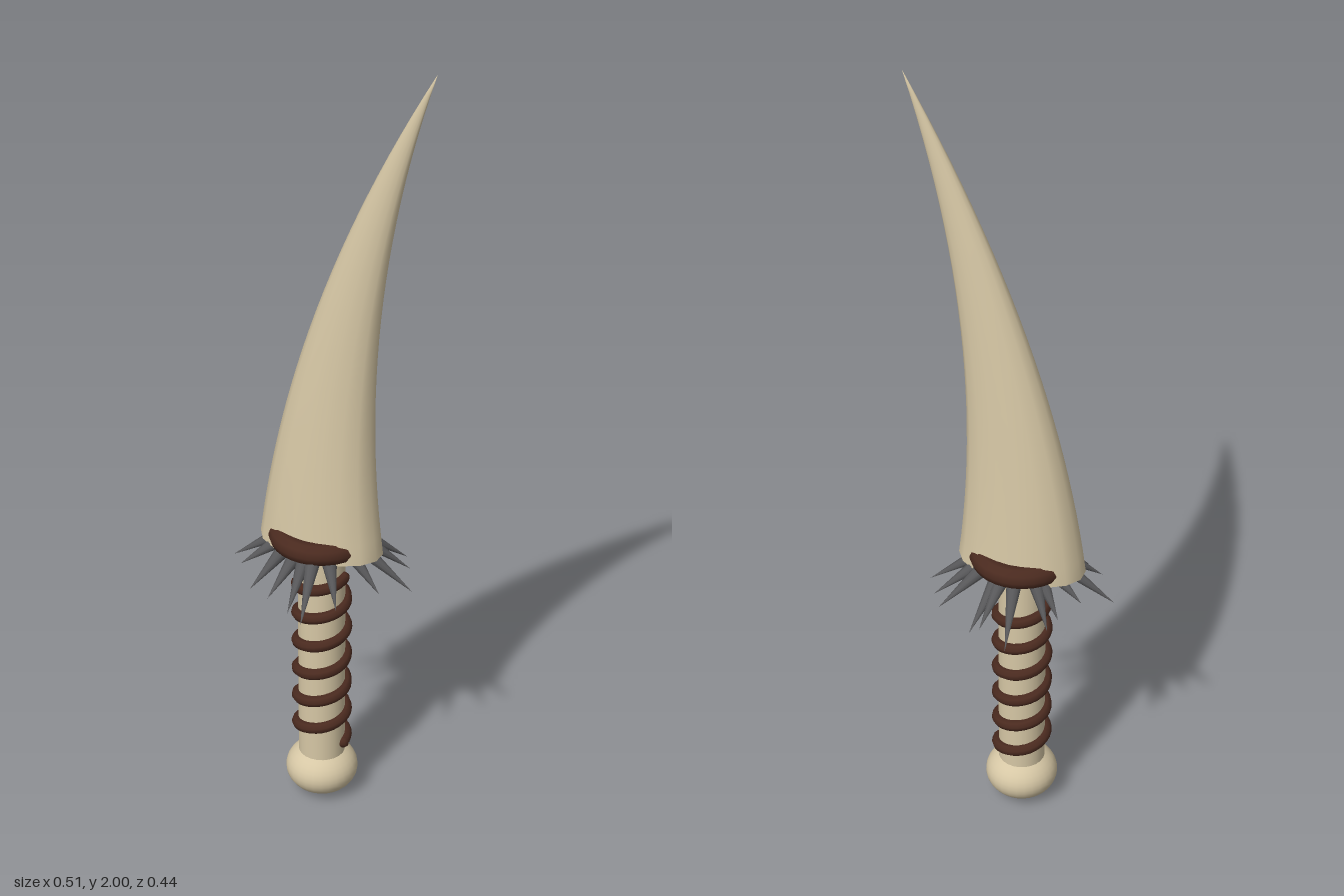
import * as THREE from 'three';
import { mergeVertices } from 'three/addons/utils/BufferGeometryUtils.js';

const CX = -0.028, CZ = -0.013; // handle axis

export function createModel() {
  const group = new THREE.Group();
  const material = (name, color) => {
    const m = new THREE.MeshStandardMaterial({ color });
    m.name = name;
    return m;
  };
  const bone = material('bone', 0xd6c7a5);
  const leather = material('leather', 0x4a2a1f);
  const iron = material('iron', 0x58585a);

  const add = (name, geometry, mat, x, y, z) => {
    const mesh = new THREE.Mesh(geometry, mat);
    mesh.name = name;
    mesh.position.set(x, y, z);
    group.add(mesh);
    return mesh;
  };

  // Curved tusk blade: an elliptical cone whose axis bends towards +x
  const sides = 16, bladeBase = 0.73, bladeHeight = 1.27, rx = 0.159, rz = 0.094;
  let blade = new THREE.CylinderGeometry(0, 1, 1, sides, 24, true, Math.PI / sides);
  blade.deleteAttribute('uv');
  blade.deleteAttribute('normal');
  blade = mergeVertices(blade);
  const p = blade.attributes.position;
  for (let i = 0; i < p.count; i++) {
    const t = p.getY(i) + 0.5;
    p.setXYZ(i, p.getX(i) * rx + 0.283 * t * t, t * bladeHeight, p.getZ(i) * rz);
  }
  blade.computeVertexNormals();
  add('blade', blade, bone, CX, bladeBase, CZ);

  const cap = new THREE.CircleGeometry(1, sides, Math.PI / sides);
  cap.rotateX(Math.PI / 2);
  cap.scale(rx, 1, rz);
  add('bladeBase', cap, bone, CX, bladeBase, CZ);

  // Handle and flattened pommel
  add('handle', new THREE.CylinderGeometry(0.058, 0.058, 0.64, 24), bone, CX, 0.43, CZ);
  const pommel = new THREE.SphereGeometry(1, 28, 18);
  pommel.scale(0.09, 0.068, 0.09);
  add('pommel', pommel, bone, CX, 0.068, CZ);

  // Leather cord wound around the handle
  const turns = 6, cordPoints = [];
  for (let i = 0; i <= turns * 16; i++) {
    const a = (i / 16) * Math.PI * 2;
    cordPoints.push(new THREE.Vector3(
      0.06 * Math.cos(a), 0.155 + (0.49 * i) / (turns * 16), -0.06 * Math.sin(a)));
  }
  const cord = new THREE.CatmullRomCurve3(cordPoints);
  add('cord', new THREE.TubeGeometry(cord, turns * 28, 0.015, 8), leather, CX, 0, CZ);
  for (const end of [cordPoints[0], cordPoints[cordPoints.length - 1]]) {
    add('cordEnd', new THREE.SphereGeometry(0.015, 8, 6), leather, CX + end.x, end.y, CZ + end.z);
  }

  // Leather collar under the blade
  const collar = new THREE.TorusGeometry(0.1, 0.028, 10, 32);
  collar.rotateX(Math.PI / 2);
  add('collar', collar, leather, CX, 0.757, CZ);

  // Ring of irregular spikes, given by their tips
  const tips = [
    [-0.254, 0.645, 0.016], [-0.2, 0.69, -0.068], [-0.163, 0.67, -0.125], [-0.145, 0.65, -0.15],
    [-0.065, 0.62, -0.222], [0.003, 0.66, -0.215], [0.03, 0.64, -0.213], [0.13, 0.65, -0.16],
    [0.16, 0.65, -0.115], [0.2, 0.635, -0.045], [0.152, 0.66, 0.036], [0.085, 0.65, 0.132],
    [0.036, 0.645, 0.22], [-0.02, 0.64, 0.18], [-0.07, 0.67, 0.185], [-0.145, 0.645, 0.136],
    [-0.2, 0.67, 0.08],
  ];
  const up = new THREE.Vector3(0, 1, 0);
  for (const [x, y, z] of tips) {
    const a = Math.atan2(z - CZ, x - CX);
    const root = new THREE.Vector3(CX + 0.088 * Math.cos(a), 0.745, CZ + 0.088 * Math.sin(a));
    const dir = new THREE.Vector3(x, y, z).sub(root);
    const length = dir.length();
    const cone = new THREE.ConeGeometry(0.021, length, 10);
    cone.translate(0, length / 2, 0);
    add('spike', cone, iron, root.x, root.y, root.z)
      .quaternion.setFromUnitVectors(up, dir.normalize());
  }
  return group;
}
